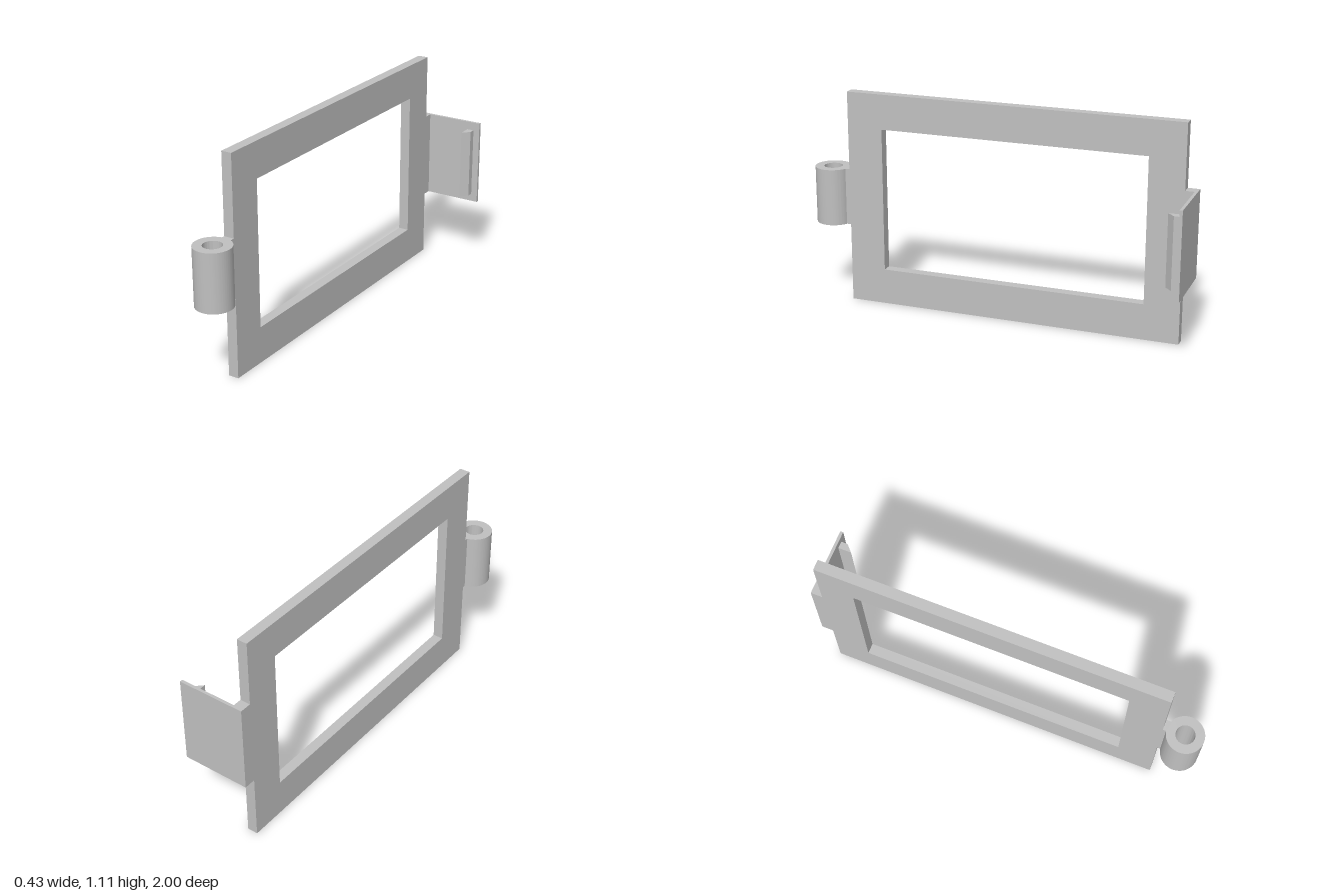
import * as THREE from 'three';
import { toCreasedNormals } from 'three/addons/utils/BufferGeometryUtils.js';

const X0 = -0.138, X1 = -0.085; // thickness of the frame

export function createModel() {
  const model = new THREE.Group();
  const grey = new THREE.MeshStandardMaterial({ color: 0xc0c0c0 });
  grey.name = 'grey';

  const outline = (pts) => new THREE.Shape(pts.map(([a, b]) => new THREE.Vector2(a, b)));

  function add(name, geometry) {
    const mesh = new THREE.Mesh(toCreasedNormals(geometry, 0.6), grey);
    mesh.name = name;
    model.add(mesh);
    return mesh;
  }

  // Extrudes an (x, z) plan upright between two heights
  function upright(name, shape, y0, y1) {
    const g = new THREE.ExtrudeGeometry(shape, { depth: y1 - y0, bevelEnabled: false, curveSegments: 48 });
    return add(name, g.rotateX(Math.PI / 2).translate(0, y1, 0));
  }

  // Rectangular frame, drawn in (-z, y) and extruded through x
  const frame = outline([[-0.80, 0], [0.94, 0], [0.94, 1.11], [-0.80, 1.11]]);
  frame.holes.push(outline([[-0.615, 0.185], [-0.615, 0.93], [0.76, 0.93], [0.76, 0.185]]));
  add('frame', new THREE.ExtrudeGeometry(frame, { depth: X1 - X0, bevelEnabled: false })
    .rotateY(Math.PI / 2).translate(X0, 0, 0));

  // Hinge barrel with its neck to the frame
  const cx = -0.1225, cz = 0.9075, R = 0.0925;
  const right = -Math.acos((X1 - cx) / R), left = -Math.acos((X0 - cx) / R);
  const barrel = new THREE.Shape();
  barrel.moveTo(X0, 0.80);
  barrel.lineTo(X1, 0.80);
  barrel.absarc(cx, cz, R, right, left + Math.PI * 2, false);
  barrel.closePath();
  const bore = new THREE.Path();
  bore.absarc(cx, cz, 0.047, 0, Math.PI * 2, true);
  barrel.holes.push(bore);
  upright('hingeBarrel', barrel, 0.41, 0.705);

  // Latch: short arm and thin plate at the back
  upright('latchPlate', outline([
    [X0, -1], [0.212, -1], [0.212, -0.985], [X1, -0.985], [X1, -0.94], [X0, -0.94],
  ]), 0.335, 0.78);

  // Slanted catch on the plate
  upright('latchCatch', outline([
    [0.142, -0.985], [0.178, -0.985], [0.178, -0.952], [0.142, -0.917],
  ]), 0.376, 0.738);

  return model;
}
